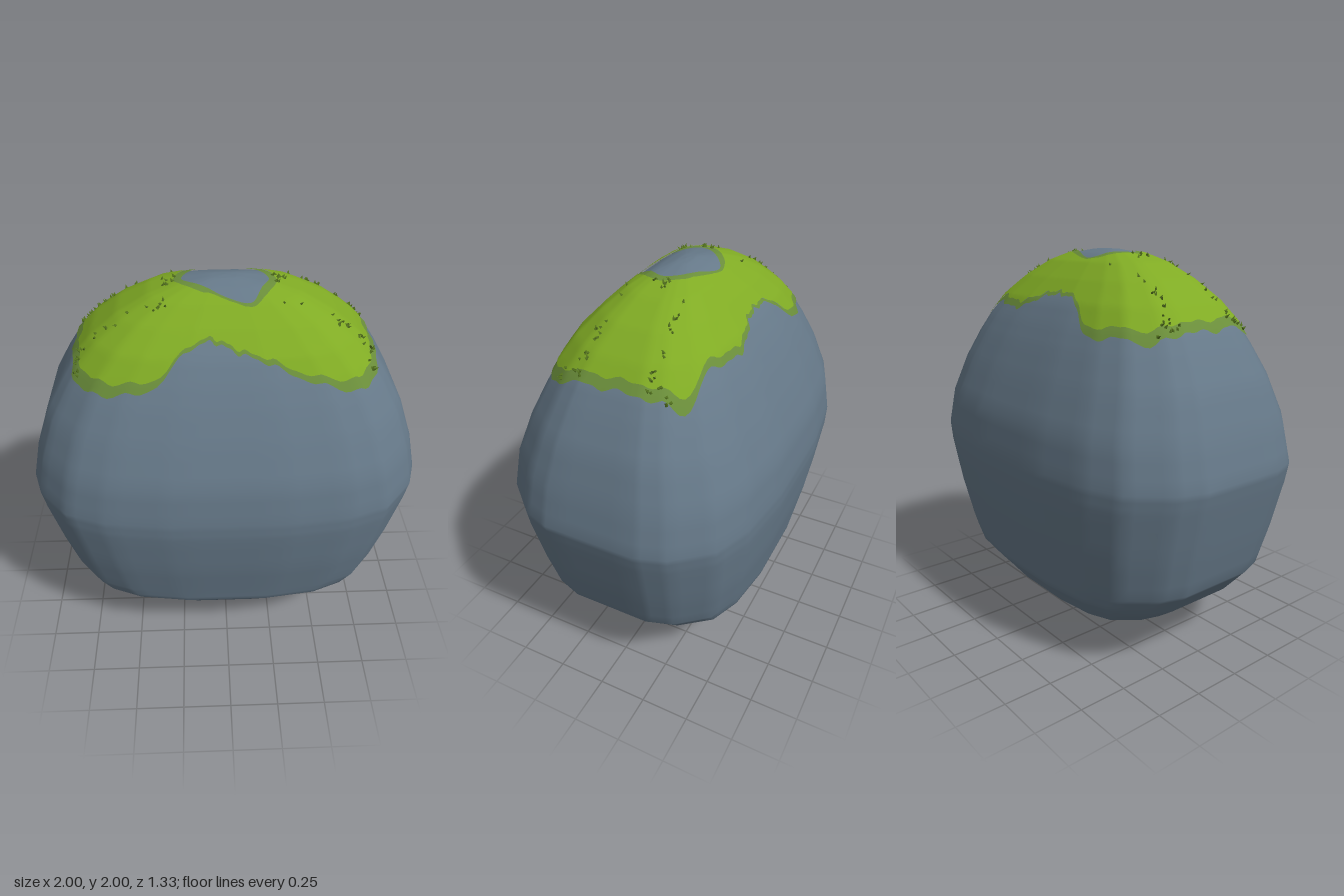
import * as THREE from 'three';

const rockMat = new THREE.MeshStandardMaterial({ name: 'slate stone', color: 0x667989 });
const mossMat = new THREE.MeshStandardMaterial({ name: 'moss green', color: 0x80ab24 });
const fringeMat = new THREE.MeshStandardMaterial({ name: 'thin moss', color: 0x6a8d3a });
const tuftMat = new THREE.MeshStandardMaterial({ name: 'dark moss', color: 0x55751f });

// Boulder levels: height, half width, half depth
const LEVELS = [
  [0, 0, 0], [0.004, 0.1, 0.07], [0.03, 0.22, 0.2], [0.1, 0.44, 0.33], [0.2, 0.62, 0.45],
  [0.29, 0.74, 0.52], [0.35, 0.79, 0.57], [0.43, 0.86, 0.585], [0.65, 0.92, 0.63],
  [0.9, 0.98, 0.663], [1, 1, 0.665], [1.2, 0.955, 0.637], [1.4, 0.885, 0.56],
  [1.55, 0.8, 0.49], [1.65, 0.735, 0.435], [1.75, 0.64, 0.37], [1.85, 0.51, 0.275],
  [1.93, 0.36, 0.185], [1.975, 0.22, 0.11], [1.997, 0.08, 0.04], [2, 0, 0],
];

// Footprint of a level, as a unit outline mirrored into four quarters
const QUARTER = [[1, 0.35], [0.95, 0.57], [0.8, 0.83], [0.6, 0.94], [0.27, 1]];
const mirrorX = QUARTER.map(([x, z]) => [-x, z]).reverse();
const half = [...QUARTER, ...mirrorX];
const OUTLINE = [...half, ...half.map(([x, z]) => [-x, -z])];

const lerp = THREE.MathUtils.lerp;

function sizeAt(y) {
  let i = 1;
  while (i < LEVELS.length - 1 && LEVELS[i][0] < y) i++;
  const a = LEVELS[i - 1], b = LEVELS[i];
  const t = (y - a[0]) / (b[0] - a[0]);
  return [Math.max(lerp(a[1], b[1], t), 1e-4), Math.max(lerp(a[2], b[2], t), 1e-4)];
}

// Below 1 inside the boulder, above 1 outside
function field(x, y, z) {
  const [hx, hz] = sizeAt(y);
  const u = Math.abs(x / hx), v = Math.abs(z / hz);
  let g = Math.max(u, v);
  for (let i = 1; i < QUARTER.length; i++) {
    const [ax, az] = QUARTER[i - 1], [bx, bz] = QUARTER[i];
    const nx = bz - az, nz = ax - bx;
    g = Math.max(g, (u * nx + v * nz) / (ax * nx + az * nz));
  }
  return g;
}

// Point on the upper surface above (x, z), with its normal
function surface(x, z) {
  let lo = 1, hi = 2;
  for (let k = 0; k < 36; k++) {
    const mid = (lo + hi) / 2;
    if (field(x, mid, z) < 1) lo = mid; else hi = mid;
  }
  const y = Math.min(lo, 1.996), e = 0.003;
  const normal = new THREE.Vector3(
    field(x + e, y, z) - field(x - e, y, z),
    field(x, y + e, z) - field(x, y - e, z),
    field(x, y, z + e) - field(x, y, z - e)).normalize();
  return { point: new THREE.Vector3(x, lo, z), normal };
}

// Skin closed rings of points
function skin(rings) {
  const n = rings[0].length, index = [];
  for (let i = 0; i < rings.length - 1; i++) {
    for (let j = 0; j < n; j++) {
      const a = i * n + j, b = i * n + (j + 1) % n;
      index.push(a, a + n, b, b, a + n, b + n);
    }
  }
  const geo = new THREE.BufferGeometry().setFromPoints(rings.flat());
  geo.setIndex(index);
  geo.computeVertexNormals();
  return geo;
}

function boulderGeometry() {
  const ring = [];
  OUTLINE.forEach(([x, z], i) => {
    const [bx, bz] = OUTLINE[(i + 1) % OUTLINE.length];
    for (let k = 0; k < 4; k++) ring.push([lerp(x, bx, k / 4), lerp(z, bz, k / 4)]);
  });
  const rings = [];
  LEVELS.forEach(([y, hx, hz], i) => {
    const next = LEVELS[i + 1];
    const steps = next ? 3 : 1;
    for (let k = 0; k < steps; k++) {
      const t = k / steps;
      const [py, px, pz] = next ? [lerp(y, next[0], t), lerp(hx, next[1], t), lerp(hz, next[2], t)] : [y, hx, hz];
      rings.push(ring.map(([u, v]) => new THREE.Vector3(u * px, py, v * pz)));
    }
  });
  return skin(rings);
}

// Moss outlines in plan (x, z)
const MOSS_EDGE = [
  [0.73, 0], [0.725, 0.2], [0.66, 0.36], [0.45, 0.415], [0.28, 0.395], [0.06, 0.35], [-0.08, 0.31],
  [-0.2, 0.35], [-0.32, 0.42], [-0.5, 0.42], [-0.68, 0.33], [-0.73, 0.15], [-0.735, -0.1],
  [-0.7, -0.29], [-0.55, -0.39], [-0.37, -0.43], [-0.2, -0.355], [0, -0.345], [0.2, -0.395],
  [0.35, -0.385], [0.5, -0.345], [0.66, -0.34], [0.72, -0.2]];
const BARE_EDGE = [
  [0.21, 0.02], [0.17, 0.1], [0.12, 0.175], [0.02, 0.155], [-0.1, 0.09], [-0.2, 0.01],
  [-0.13, -0.1], [-0.05, -0.15], [0.08, -0.11], [0.18, -0.05]];

// Distance from the centre to a smooth plan outline, along an angle
function radiusFinder(points) {
  const curve = new THREE.CatmullRomCurve3(points.map(([x, z]) => new THREE.Vector3(x, 0, z)), true);
  const pts = curve.getPoints(160);
  return (angle) => {
    const c = Math.cos(angle), s = Math.sin(angle);
    for (let i = 0; i < pts.length - 1; i++) {
      const p = pts[i], q = pts[i + 1];
      const a = c * p.z - s * p.x, b = c * q.z - s * q.x;
      if (a <= 1e-9 && b > 1e-9 && c * p.x + s * p.z > 0) {
        const t = a / (a - b);
        return c * lerp(p.x, q.x, t) + s * lerp(p.z, q.z, t);
      }
    }
    return 0.2;
  };
}

// Band of moss between two fractions: 1 is the outer edge, 0 the bare patch
function mossBand(from, to, rows, lift) {
  const outer = radiusFinder(MOSS_EDGE), inner = radiusFinder(BARE_EDGE);
  const n = 200, rings = [];
  for (let i = 0; i <= rows; i++) {
    const ring = [];
    for (let j = 0; j < n; j++) {
      const angle = (j + 0.5) / n * Math.PI * 2;
      const ro = outer(angle) + 0.006 * Math.sin(angle * 23) + 0.004 * Math.sin(angle * 41);
      const r = lerp(inner(angle), ro, lerp(from, to, i / rows));
      const { point, normal } = surface(r * Math.cos(angle), r * Math.sin(angle));
      ring.push(point.addScaledVector(normal, lift));
    }
    rings.push(ring);
  }
  return skin(rings);
}

export function createModel() {
  const model = new THREE.Group();
  model.name = 'mossyBoulder';
  const add = (name, geo, mat) => {
    const mesh = new THREE.Mesh(geo, mat);
    mesh.name = name;
    model.add(mesh);
    return mesh;
  };

  add('boulder', boulderGeometry(), rockMat);

  // Moss cap with thinner fringes
  add('mossCap', mossBand(0.93, 0.07, 28, 0.01), mossMat);
  add('outerMossFringe', mossBand(1, 0.92, 3, 0.007), fringeMat);
  add('innerMossFringe', mossBand(0.08, 0, 2, 0.007), fringeMat);

  // Tiny tufts clustered along the ridges of the cap
  let seed = 7;
  const rand = () => (seed = (seed * 16807) % 2147483647) / 2147483647;
  const tuftGeo = new THREE.ConeGeometry(0.009, 0.024, 4);
  const up = new THREE.Vector3(0, 1, 0);
  const tufts = new THREE.Group();
  tufts.name = 'mossTufts';
  const plant = (x, z) => {
    const { point, normal } = surface(x, z);
    const tuft = new THREE.Mesh(tuftGeo, tuftMat);
    tuft.name = 'tuft';
    tuft.position.copy(point).addScaledVector(normal, 0.016);
    normal.x += (rand() - 0.5) * 1.4;
    normal.z += (rand() - 0.5) * 1.4;
    tuft.quaternion.setFromUnitVectors(up, normal.normalize());
    tufts.add(tuft);
  };
  for (const sx of [-1, 1]) {
    for (const sz of [-1, 1]) {
      for (let i = 0; i < 12; i++) plant(sx * (0.25 + rand() * 0.4), sz * (0.14 + rand() * 0.04));
      for (let i = 0; i < 12; i++) plant(sx * (0.64 + rand() * 0.07), sz * (0.15 + rand() * 0.13));
    }
    for (let i = 0; i < 8; i++) plant(sx * (0.23 + rand() * 0.06), (rand() - 0.5) * 0.08);
  }
  model.add(tufts);
  return model;
}
